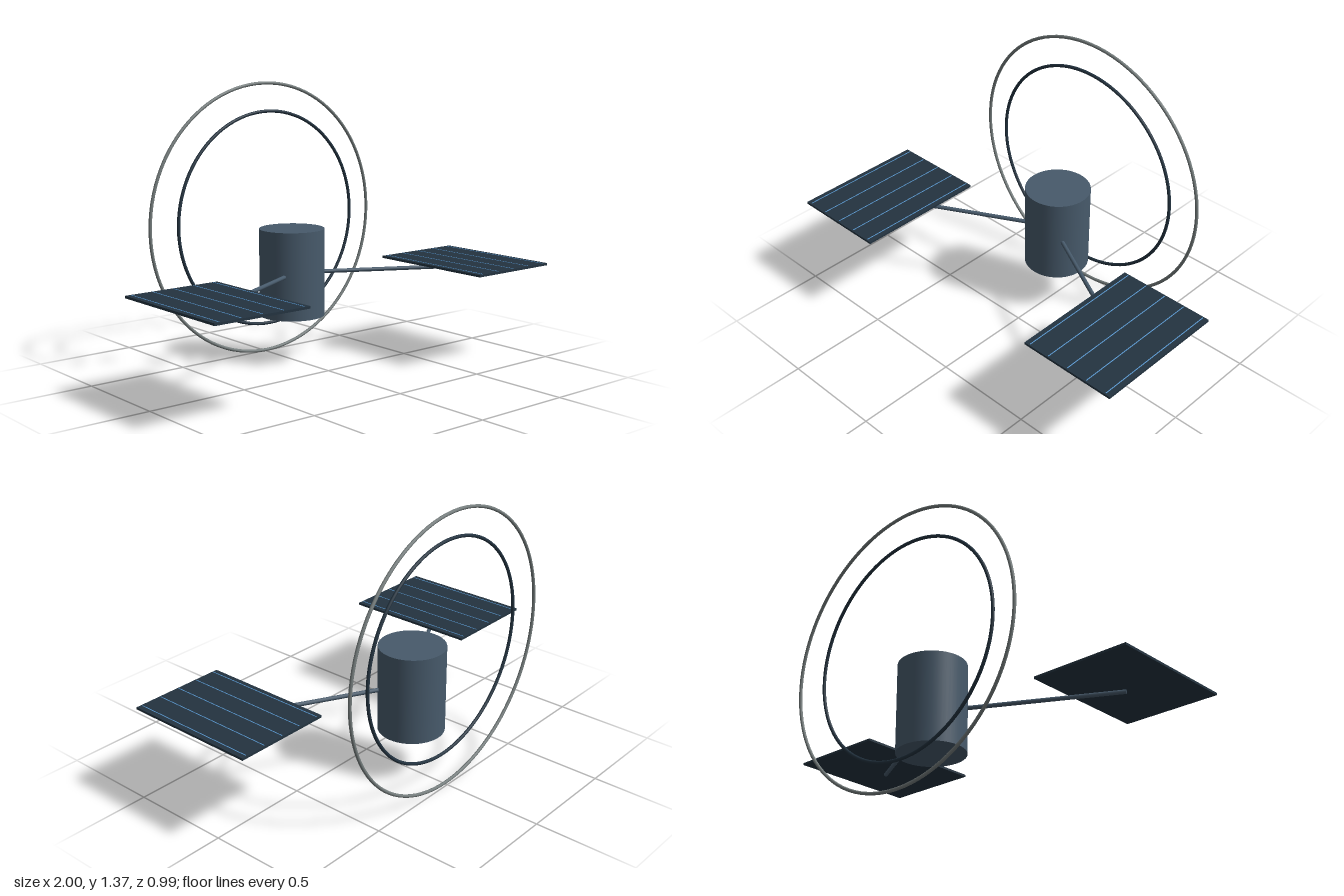
import * as THREE from 'three';

const material = (color) => new THREE.MeshStandardMaterial({ color });

function addMesh(parent, name, geometry, mat, x, y, z) {
  const mesh = new THREE.Mesh(geometry, mat);
  mesh.name = name;
  mesh.position.set(x, y, z);
  parent.add(mesh);
  return mesh;
}

export function createModel() {
  const model = new THREE.Group();
  model.name = 'satellite';

  const hull = material(0x475a6b);
  const cell = material(0x233340);
  const stripe = material(0x5b9bd5);
  const darkRing = material(0x233340);
  const paleRing = material(0x757d7d);

  // Upright drum body
  addMesh(model, 'body', new THREE.CylinderGeometry(0.16, 0.16, 0.43, 48), hull, 0, 0.445, -0.277);

  // Two thin hoops standing behind the body
  addMesh(model, 'outerRing', new THREE.TorusGeometry(0.675, 0.008, 12, 96), paleRing, 0, 0.684, -0.488);
  addMesh(model, 'innerRing', new THREE.TorusGeometry(0.534, 0.008, 12, 96), darkRing, 0, 0.688, -0.463);

  // One strut and one panel on each side
  for (const side of [1, -1]) {
    const wing = new THREE.Group();
    wing.name = side > 0 ? 'leftWing' : 'rightWing';
    model.add(wing);

    // Strut runs outwards and forwards to the underside of the panel
    const start = new THREE.Vector3(side * 0.125, 0.445, -0.18);
    const end = new THREE.Vector3(side * 0.755, 0.445, 0.158);
    const along = end.clone().sub(start);
    const mid = start.clone().add(end).multiplyScalar(0.5);
    const strut = addMesh(wing, 'strut', new THREE.CylinderGeometry(0.01, 0.01, along.length(), 12),
      hull, mid.x, mid.y, mid.z);
    strut.quaternion.setFromUnitVectors(new THREE.Vector3(0, 1, 0), along.normalize());

    // Flat panel with thin lines along its length
    addMesh(wing, 'solarPanel', new THREE.BoxGeometry(0.485, 0.011, 0.675), cell, side * 0.7575, 0.471, 0.157);
    for (let i = -2; i <= 2; i++) {
      addMesh(wing, 'panelLine', new THREE.BoxGeometry(0.004, 0.002, 0.66), stripe,
        side * 0.7575 + i * 0.108, 0.477, 0.157);
    }
  }

  return model;
}
